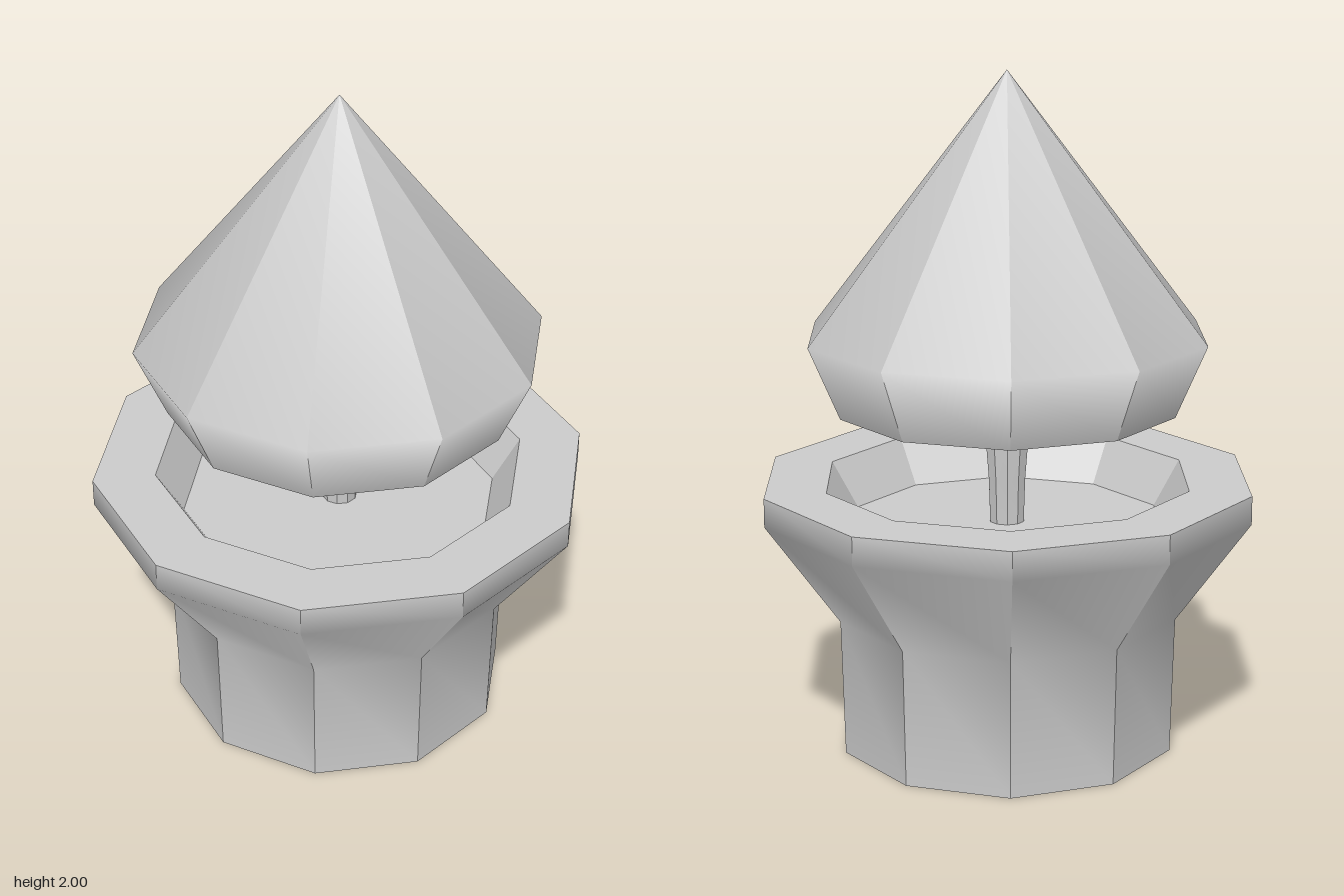
import * as THREE from 'three';
import { mergeGeometries } from 'three/addons/utils/BufferGeometryUtils.js';

const SIDES = 10;

// Faceted ring of strips: hard edges between sides, soft bends along each profile.
// Separate profiles meet in a sharp edge.
function faceted(profiles) {
  const strips = [];
  for (const profile of profiles) {
    const points = profile.map(([r, y]) => new THREE.Vector2(r, y));
    for (let i = 0; i < SIDES; i++) {
      const step = (Math.PI * 2) / SIDES;
      const strip = new THREE.LatheGeometry(points, 1, Math.PI / 2 + i * step, step);
      strip.computeVertexNormals();
      strips.push(strip);
    }
  }
  return mergeGeometries(strips);
}

export function createModel() {
  const group = new THREE.Group();
  const material = new THREE.MeshStandardMaterial({ color: 0xcccccc, side: THREE.DoubleSide });

  const add = (name, profiles) => {
    const mesh = new THREE.Mesh(faceted(profiles), material);
    mesh.name = name;
    group.add(mesh);
  };

  // Flared pot with a flat rim and a shallow recess
  add('pot', [
    [[0, 0], [0.505, 0]],
    [[0.505, 0], [0.515, 0.41], [0.735, 0.72], [0.735, 0.805]],
    [[0.735, 0.805], [0.55, 0.805]],
    [[0.55, 0.805], [0.47, 0.67]],
  ]);

  // Floor inside the recess
  add('potFloor', [[[0.47, 0.67], [0, 0.67]]]);

  // Thin stem, slightly wider at the top, running up into the cap
  add('stem', [[[0.052, 0.67], [0.056, 0.8], [0.073, 1.02], [0.073, 1.9]]]);

  // Hollow pointed cap with an inward-sloping skirt
  add('cap', [[[0.505, 1.02], [0.597, 1.235], [0, 2]]]);

  return group;
}
